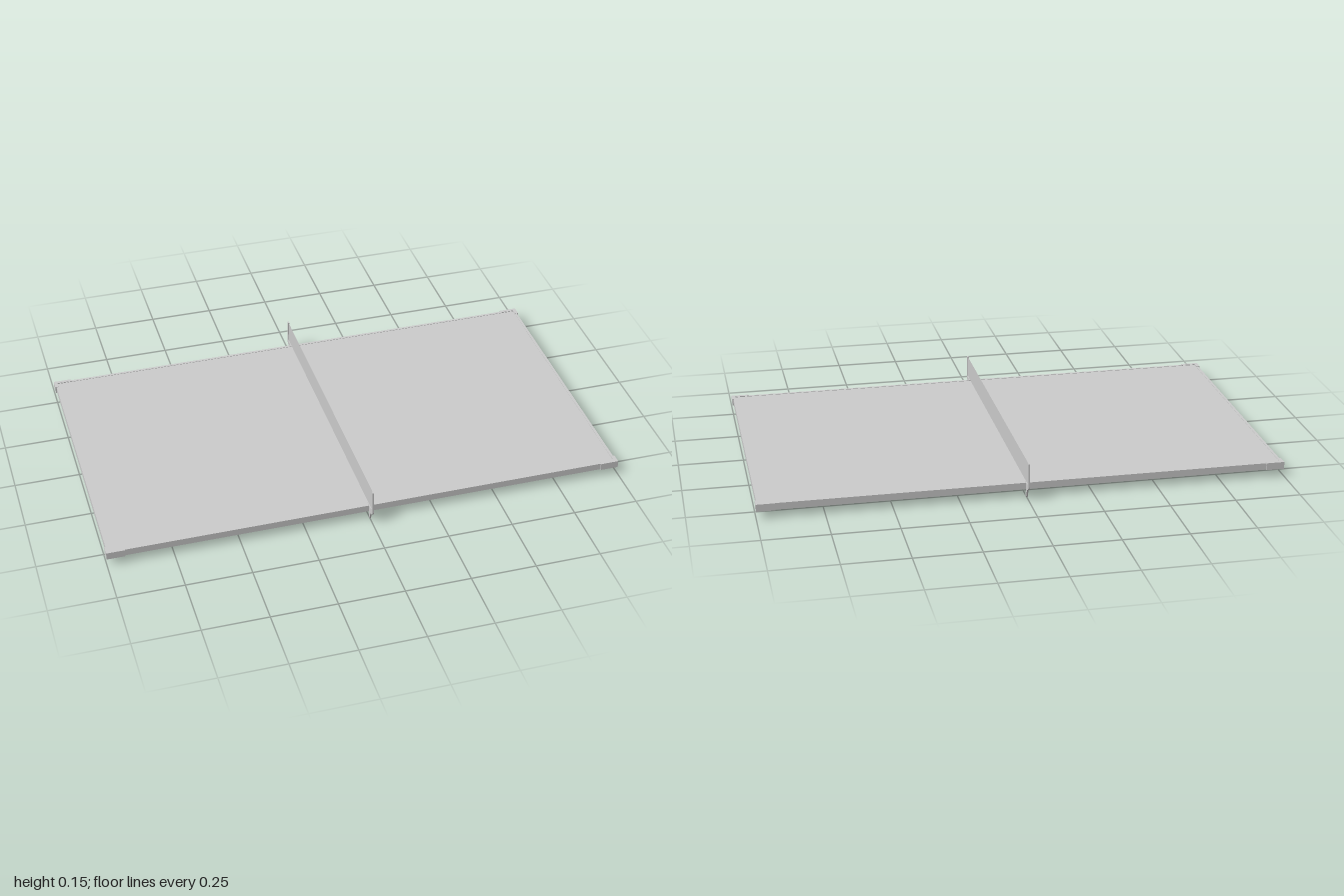
import * as THREE from 'three';

export function createModel() {
  const model = new THREE.Group();
  const grey = new THREE.MeshStandardMaterial({ color: 0xcccccc, flatShading: true });
  const thin = new THREE.MeshStandardMaterial({ color: 0xcccccc, side: THREE.DoubleSide });

  const add = (name, geometry, x = 0, y = 0, z = 0, material = grey) => {
    const mesh = new THREE.Mesh(geometry, material);
    mesh.name = name;
    mesh.position.set(x, y, z);
    model.add(mesh);
    return mesh;
  };
  const box = (name, w, h, d, x, y, z) => add(name, new THREE.BoxGeometry(w, h, d), x, y, z);

  // Playing surface, slightly recessed inside its rim
  box('tableTop', 1.972, 0.021, 1.108, 0, 0.0455, 0);

  // Rim around the four edges
  for (const s of [-1, 1]) {
    box('sideRim', 1.99, 0.026, 0.01, 0, 0.0445, s * 0.556);
    box('endRim', 0.01, 0.026, 1.106, s * 0.99, 0.0445, 0);
  }

  // L-shaped guards wrapping the corners
  const guard = new THREE.Shape([
    [1, 0.566], [0.93, 0.566], [0.93, 0.553], [0.986, 0.553], [0.986, 0.527], [1, 0.527],
  ].map(([x, z]) => new THREE.Vector2(x, z)));
  for (const sx of [-1, 1]) {
    for (const sz of [-1, 1]) {
      const shape = new THREE.Shape(guard.getPoints().map((p) => new THREE.Vector2(p.x * sx, p.y * sz)));
      const geometry = new THREE.ExtrudeGeometry(shape, { depth: 0.028, bevelEnabled: false });
      geometry.rotateX(Math.PI / 2);
      add('cornerGuard', geometry, 0, 0.059, 0);
    }
  }

  // Net brackets: upright post, curved elbow, pointed clamp foot and a lip over the rim
  const bracket = new THREE.Shape();
  bracket.moveTo(0.605, 0.148);
  bracket.lineTo(0.592, 0.148);
  bracket.lineTo(0.592, 0.066);
  bracket.quadraticCurveTo(0.591, 0.061, 0.585, 0.061);
  bracket.lineTo(0.545, 0.061);
  bracket.lineTo(0.545, 0.058);
  bracket.lineTo(0.562, 0.056);
  bracket.lineTo(0.562, 0.004);
  bracket.quadraticCurveTo(0.565, 0, 0.569, 0.004);
  bracket.lineTo(0.582, 0.034);
  bracket.quadraticCurveTo(0.584, 0.039, 0.592, 0.041);
  bracket.quadraticCurveTo(0.605, 0.044, 0.605, 0.056);
  bracket.closePath();
  const bracketGeometry = new THREE.ExtrudeGeometry(bracket, {
    depth: 0.006, bevelEnabled: false, curveSegments: 5,
  });
  bracketGeometry.translate(0, -0.002, -0.003).translate(0, 0.002, 0);
  for (const s of [-1, 1]) {
    add('netBracket', bracketGeometry).rotation.y = s * Math.PI / 2;
  }

  // Net stretched between the posts
  const net = new THREE.PlaneGeometry(1.19, 0.087);
  net.rotateY(Math.PI / 2);
  add('net', net, 0, 0.1035, 0, thin);

  return model;
}
